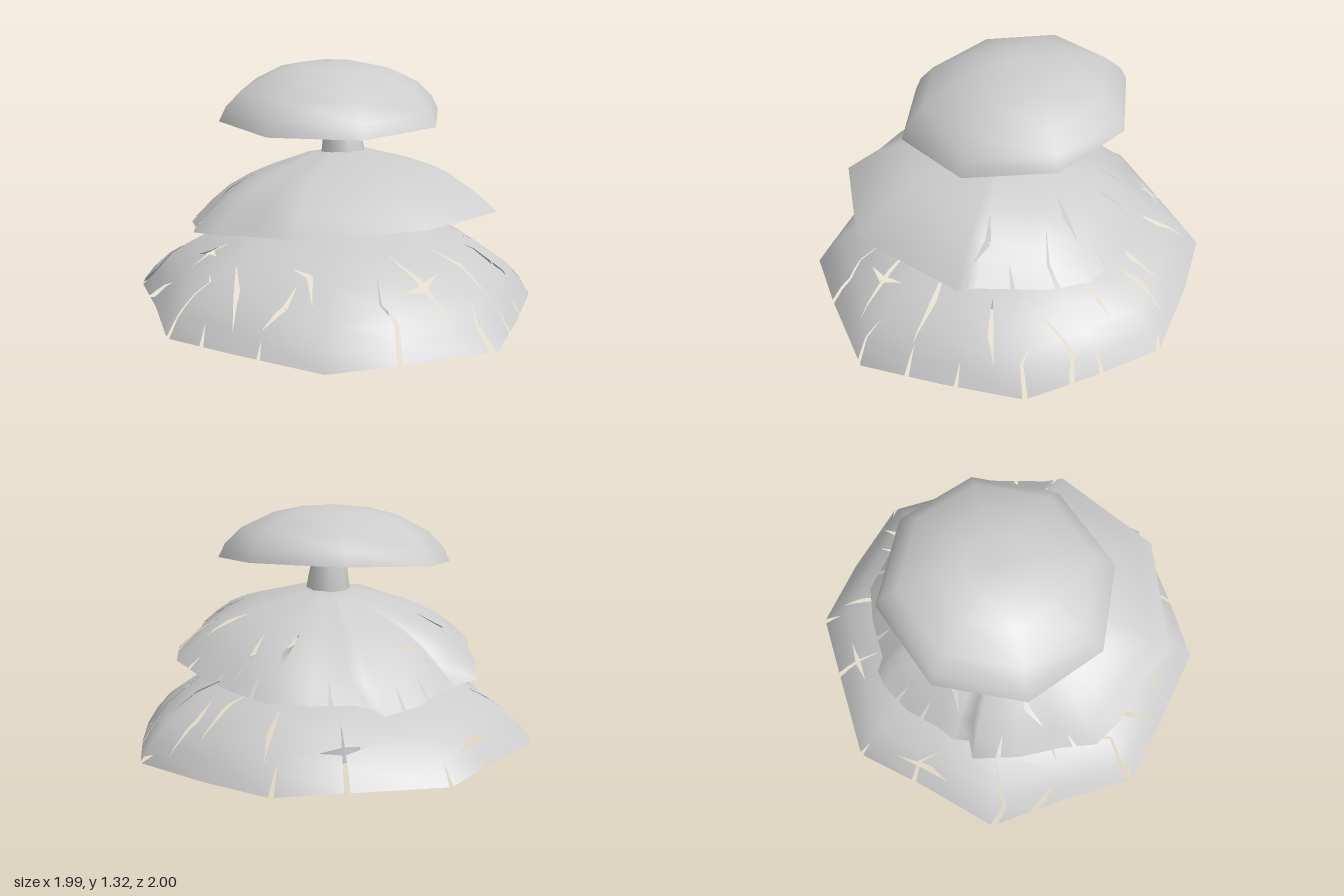
import * as THREE from 'three';
import { toCreasedNormals } from 'three/addons/utils/BufferGeometryUtils.js';

// Split a convex polygon by the plan line a-b; vertices are [x, y, z, nx, ny, nz]
function split(poly, a, b) {
  const outside = [], inside = [];
  const side = p => (b[0] - a[0]) * (p[2] - a[1]) - (b[1] - a[1]) * (p[0] - a[0]);
  poly.forEach((p, i) => {
    const q = poly[(i + 1) % poly.length], dp = side(p), dq = side(q);
    if (dp >= 0) outside.push(p);
    if (dp <= 0) inside.push(p);
    if (dp * dq < 0) {
      const t = dp / (dp - dq), m = p.map((v, k) => v + (q[k] - v) * t);
      outside.push(m);
      inside.push(m);
    }
  });
  return [outside, inside];
}

// Remove a convex plan quad from a polygon, returning the remaining pieces
function subtract(poly, quad) {
  const pieces = [];
  let rest = poly;
  for (let i = 0; i < 4; i++) {
    const [out, inn] = split(rest, quad[i], quad[(i + 1) % 4]);
    if (out.length > 2) pieces.push(out);
    if (inn.length < 3) return [poly];
    rest = inn;
  }
  return pieces;
}

// Turn a crack path [x, z, x, z, ...] into thin tapering quads.
// Rim cracks are widest at their first point, slits in the middle.
function crackQuads(path, width, slit) {
  const n = path.length / 2, quads = [];
  const w = i => Math.max(0.001, width * (slit ? Math.sin(Math.PI * i / (n - 1)) : 1 - i / (n - 1)));
  for (let i = 0; i < n - 1; i++) {
    const [x0, z0, x1, z1] = path.slice(i * 2, i * 2 + 4);
    const l = Math.hypot(x1 - x0, z1 - z0), nx = -(z1 - z0) / l, nz = (x1 - x0) / l;
    const a = w(i), b = w(i + 1);
    quads.push([[x0 + nx * a, z0 + nz * a], [x1 + nx * b, z1 + nz * b],
      [x1 - nx * b, z1 - nz * b], [x0 - nx * a, z0 - nz * a]]);
  }
  return quads;
}

// Cap shell: the rim outline [x, z, sag] shrinks to the centre along a profile
// of [fraction, height], standing on a tilted plane, then gets cracked.
function capGeometry({ outline, profile, centre, plane, rim = [], slits = [], width = 0.014 }) {
  const n = outline.length, pos = [], idx = [];
  for (const [f, h] of profile) {
    for (const [ox, oz, sag = 0] of outline) {
      const x = centre[0] + (ox - centre[0]) * f, z = centre[1] + (oz - centre[1]) * f;
      pos.push(x, plane[0] + plane[1] * x + plane[2] * z + h - sag * f, z);
    }
  }
  for (let r = 0; r < profile.length - 1; r++) {
    for (let j = 0; j < n; j++) {
      const a = r * n + j, b = r * n + (j + 1) % n;
      idx.push(a, a + n, b + n);
      if (profile[r][0] > 0) idx.push(a, b + n, b);
    }
  }
  const smooth = new THREE.BufferGeometry();
  smooth.setAttribute('position', new THREE.Float32BufferAttribute(pos, 3));
  smooth.setIndex(idx);
  smooth.computeVertexNormals();
  const nor = smooth.attributes.normal.array;
  const vertex = i => {
    const k = i * 3;
    return profile[0][0] === 0 && i < n ? [...pos.slice(k, k + 3), 0, 1, 0]
      : [...pos.slice(k, k + 3), ...nor.slice(k, k + 3)];
  };
  const quads = [...rim.flatMap(p => crackQuads(p, width, false)),
    ...slits.flatMap(p => crackQuads(p, width, true))];
  const P = [], N = [];
  for (let t = 0; t < idx.length; t += 3) {
    let polys = [[vertex(idx[t]), vertex(idx[t + 1]), vertex(idx[t + 2])]];
    for (const q of quads) polys = polys.flatMap(p => subtract(p, q));
    for (const p of polys) {
      for (let i = 1; i < p.length - 1; i++) {
        for (const v of [p[0], p[i], p[i + 1]]) {
          P.push(v[0], v[1], v[2]);
          N.push(v[3], v[4], v[5]);
        }
      }
    }
  }
  const g = new THREE.BufferGeometry();
  g.setAttribute('position', new THREE.Float32BufferAttribute(P, 3));
  g.setAttribute('normal', new THREE.Float32BufferAttribute(N, 3));
  return g;
}

export function createModel() {
  const group = new THREE.Group();
  const grey = new THREE.MeshStandardMaterial({ color: 0xcccccc, side: THREE.DoubleSide });
  grey.name = 'paleGrey';
  const add = (name, geometry) => {
    const mesh = new THREE.Mesh(geometry, grey);
    mesh.name = name;
    group.add(mesh);
  };

  // Stem: eight-sided taper leaning slightly backwards, ending in a point
  const stem = new THREE.LatheGeometry([[0, 0], [0.205, 0], [0.185, 0.2], [0.14, 0.6], [0.107, 0.9],
    [0.085, 1.04], [0, 1.29]].map(p => new THREE.Vector2(...p)), 8, Math.PI / 8);
  const sp = stem.attributes.position;
  for (let i = 0; i < sp.count; i++) {
    const y = sp.getY(i);
    sp.setX(i, sp.getX(i) - 0.01 - 0.012 * y);
    sp.setZ(i, sp.getZ(i) + 0.11 - 0.06 * y);
  }
  add('stem', toCreasedNormals(stem, 1));

  // Lower cap: wide, flared up into a neck, heavily cracked
  add('lowerCap', capGeometry({
    centre: [0.01, 0.08],
    plane: [0.17, 0.02, -0.06],
    profile: [[0.125, 0.49], [0.135, 0.44], [0.18, 0.4], [0.28, 0.37], [0.5, 0.33],
      [0.7, 0.265], [0.86, 0.165], [0.94, 0.085], [1, 0]],
    outline: [[0.1, 1], [0.45, 0.79], [0.78, 0.57], [0.9, 0.25], [1, -0.08], [0.83, -0.45], [0.65, -0.76],
      [0.35, -0.86], [-0.08, -1], [-0.4, -0.83], [-0.77, -0.66], [-0.87, -0.3], [-1, 0.07],
      [-0.85, 0.38], [-0.65, 0.76], [-0.34, 0.87]],
    rim: [[-1.01, 0.07, -0.9, 0.05, -0.78, 0.07, -0.74, 0], [-0.94, 0.25, -0.88, 0.2],
      [-0.82, 0.51, -0.76, 0.46], [-0.35, 0.88, -0.29, 0.78, -0.31, 0.7, -0.25, 0.6],
      [0.08, 1.01, 0.05, 0.92, 0.08, 0.85], [0.31, 0.9, 0.27, 0.8], [0.52, 0.77, 0.48, 0.7],
      [0.8, 0.58, 0.7, 0.52, 0.68, 0.45], [0.9, 0.39, 0.8, 0.3, 0.68, 0.32, 0.5, 0.36],
      [0.94, 0.22, 0.82, 0.19], [1.01, -0.06, 0.95, -0.12], [0.66, -0.78, 0.58, -0.69],
      [0.35, -0.88, 0.3, -0.74, 0.26, -0.64], [-0.08, -1.02, -0.08, -0.93],
      [-0.36, -0.87, -0.31, -0.78, -0.34, -0.68], [-0.78, -0.68, -0.74, -0.56, -0.65, -0.53, -0.53, -0.46]],
    slits: [[0.9, -0.21, 0.76, -0.18, 0.66, -0.12], [-0.22, -0.85, -0.36, -0.76, -0.47, -0.72],
      [-0.83, -0.48, -0.82, -0.38, -0.79, -0.28], [-0.71, -0.22, -0.62, -0.2, -0.54, -0.17],
      [-0.64, -0.28, -0.62, -0.2, -0.64, -0.12], [0.2, -0.77, 0.3, -0.75, 0.4, -0.72],
      [-0.2, 0.7, -0.09, 0.72, 0.03, 0.69], [-0.1, 0.5, -0.08, 0.7, -0.06, 0.88],
      [-0.82, 0.33, -0.73, 0.22, -0.66, 0.1], [-0.55, 0.42, -0.64, 0.46, -0.74, 0.44],
      [0.14, 0.5, 0.22, 0.64, 0.26, 0.8], [0.48, 0.06, 0.64, 0.07, 0.8, 0.07],
      [0.5, -0.2, 0.64, -0.23, 0.78, -0.3], [0.42, 0.45, 0.52, 0.55, 0.6, 0.6],
      [0.46, -0.45, 0.55, -0.54, 0.62, -0.64], [-0.5, 0.32, -0.48, 0.42, -0.56, 0.55]],
  }));

  // Middle cap: tattered rim and a sunken fold at the back
  add('middleCap', capGeometry({
    centre: [0, 0],
    plane: [0.575, 0, 0.085],
    profile: [[0, 0.325], [0.2, 0.312], [0.46, 0.255], [0.62, 0.21], [0.76, 0.155], [0.88, 0.085], [1, 0]],
    outline: [[-0.14, 0.8], [0.43, 0.66], [0.47, 0.58], [0.67, 0.33], [0.74, 0.15], [0.7, -0.1], [0.64, -0.3],
      [0.54, -0.49], [0.38, -0.58], [0.2, -0.64], [0.15, -0.7], [0.08, -0.715, 0.04], [-0.1, -0.69, 0.03],
      [-0.25, -0.62, 0.02], [-0.35, -0.59, 0.03], [-0.4, -0.53, 0.04], [-0.49, -0.57], [-0.62, -0.38],
      [-0.7, -0.2], [-0.79, -0.05], [-0.77, 0.1], [-0.69, 0.3], [-0.64, 0.52]],
    rim: [[0.46, 0.65, 0.42, 0.58], [0.59, 0.47, 0.5, 0.42], [0.71, 0.3, 0.6, 0.28, 0.5, 0.2],
      [0.74, 0.03, 0.66, 0.02], [0.68, -0.2, 0.58, -0.19], [0.6, -0.42, 0.5, -0.34], [0.3, -0.63, 0.27, -0.54],
      [-0.02, -0.73, -0.02, -0.62], [-0.18, -0.68, -0.15, -0.58], [-0.57, -0.48, -0.5, -0.4],
      [-0.77, -0.14, -0.68, -0.14]],
    slits: [[0.62, -0.28, 0.52, -0.26, 0.42, -0.18], [0.6, 0.1, 0.5, 0.08, 0.4, 0.04],
      [0.46, -0.42, 0.39, -0.36, 0.3, -0.3], [-0.58, -0.22, -0.48, -0.24, -0.38, -0.2],
      [-0.28, -0.5, -0.2, -0.46, -0.12, -0.47], [0.3, 0.36, 0.38, 0.44, 0.4, 0.54]],
  }));

  // Top cap: plain tilted octagonal dome
  add('topCap', capGeometry({
    centre: [-0.01, -0.05],
    plane: [1.05, 0.068, -0.088],
    profile: [[0, 0.263], [0.28, 0.252], [0.52, 0.222], [0.8, 0.145], [0.94, 0.068], [1, 0]],
    outline: [[-0.22, 0.455], [0.22, 0.455], [0.515, 0.15], [0.515, -0.25], [0.22, -0.575],
      [-0.22, -0.575], [-0.52, -0.27], [-0.52, 0.15]],
  }));
  return group;
}
